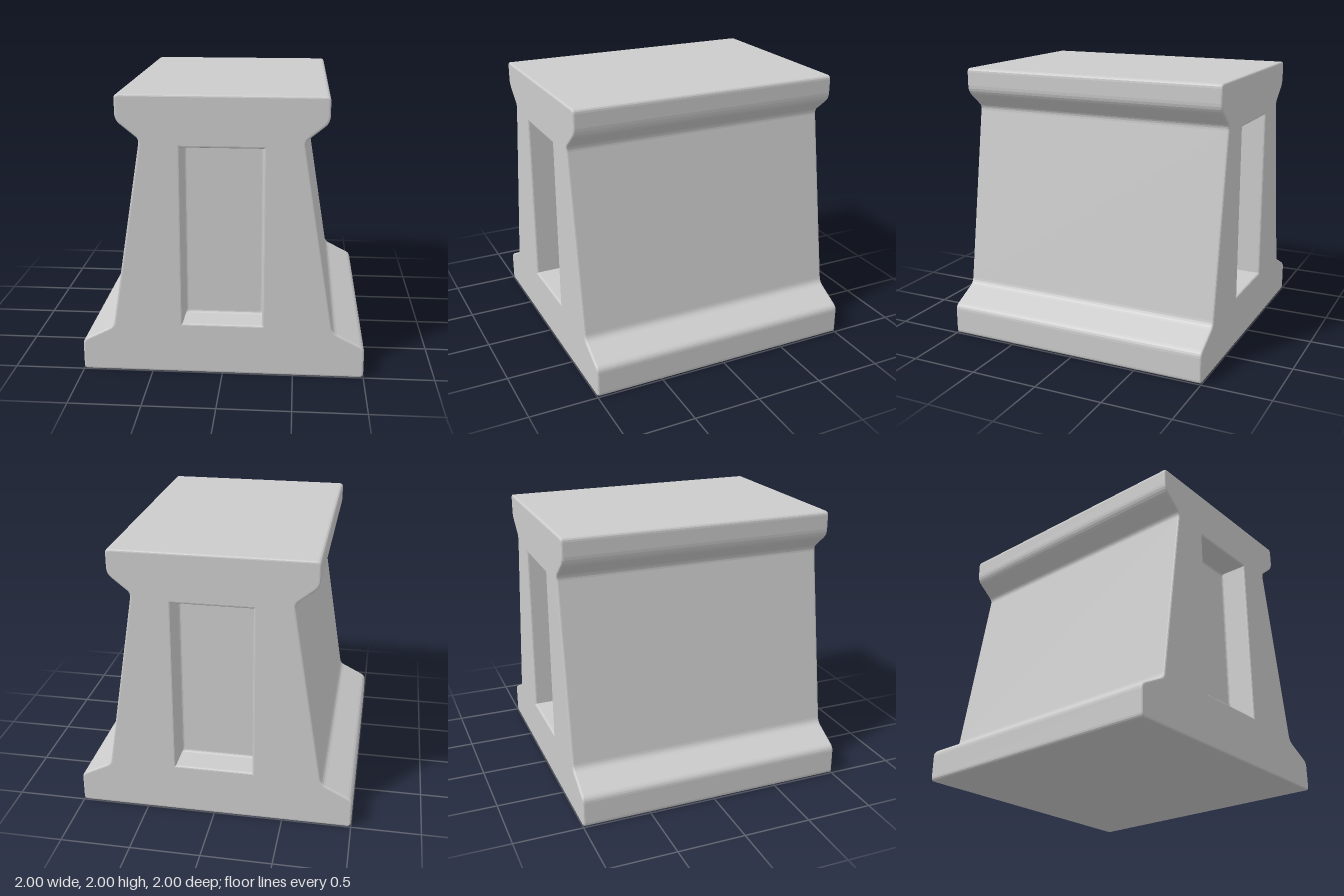
import * as THREE from 'three';

const BEVEL = 0.015;
const HOLE = { hw: 0.28, y0: 0.375, y1: 1.645 };
const FLOOR_Z = 0.79;

// Outline points with every corner rounded; each corner is [x, y, trim]
function roundCorners(corners, steps = 4) {
  const out = [];
  const n = corners.length;
  corners.forEach(([x, y, trim], i) => {
    const p = new THREE.Vector2(x, y);
    const toward = ([qx, qy]) => new THREE.Vector2(qx, qy).sub(p).setLength(trim).add(p);
    const a = toward(corners[(i + n - 1) % n]);
    const b = toward(corners[(i + 1) % n]);
    out.push(...new THREE.QuadraticBezierCurve(a, p, b).getPoints(steps));
  });
  return out;
}

function rectCorners(hw, y0, y1, trim) {
  return [[hw, y0, trim], [hw, y1, trim], [-hw, y1, trim], [-hw, y0, trim]];
}

// Flared pedestal section with a rectangular opening, extruded front to back
function bodyGeometry() {
  const right = [
    [1, 0, 0.03], [1, 0.225, 0.035], [0.775, 0.34, 0.035],
    [0.555, 1.695, 0.03], [0.715, 1.825, 0.045], [0.715, 2, 0.03],
  ];
  const left = right.map(([x, y, t]) => [-x, y, t]).reverse();
  const shape = new THREE.Shape(roundCorners([...right, ...left]));
  const { hw, y0, y1 } = HOLE;
  shape.holes.push(new THREE.Path(rectCorners(hw, y0, y1, 0).map(([x, y]) => new THREE.Vector2(x, y)).reverse()));
  const geo = new THREE.ExtrudeGeometry(shape, {
    depth: 2 - 2 * BEVEL, steps: 1,
    bevelEnabled: true, bevelSize: BEVEL, bevelThickness: BEVEL, bevelOffset: -BEVEL, bevelSegments: 3,
  });
  return geo.translate(0, 0, -(1 - BEVEL));
}

// Recess floor with a small cove running into the opening's walls
function recessGeometry() {
  const { hw, y0, y1 } = HOLE;
  const cove = 0.02, steps = 4;
  const pos = [], idx = [];
  let count = 0;
  for (let k = 0; k <= steps; k++) {
    const t = (k / steps) * Math.PI / 2;
    const inset = cove * (1 - Math.cos(t)) - 0.001;
    const z = FLOOR_Z + cove * (1 - Math.sin(t));
    const ring = roundCorners(rectCorners(hw - inset, y0 + inset, y1 - inset, 0.003 + 0.025 * k / steps));
    count = ring.length;
    ring.forEach((p) => pos.push(p.x, p.y, z));
  }
  const centre = pos.length / 3;
  pos.push(0, (y0 + y1) / 2, FLOOR_Z);
  for (let i = 0; i < count; i++) {
    const j = (i + 1) % count;
    for (let k = 0; k < steps; k++) {
      const a = k * count, b = a + count;
      idx.push(a + i, a + j, b + j, a + i, b + j, b + i);
    }
    idx.push(steps * count + i, steps * count + j, centre);
  }
  const indexed = new THREE.BufferGeometry();
  indexed.setAttribute('position', new THREE.Float32BufferAttribute(pos, 3));
  indexed.setIndex(idx);
  const geo = indexed.toNonIndexed();
  geo.computeVertexNormals();
  return geo;
}

export function createModel() {
  const group = new THREE.Group();
  group.name = 'pedestal';
  const material = new THREE.MeshStandardMaterial({ color: 0xcccccc });

  const body = new THREE.Mesh(bodyGeometry(), material);
  body.name = 'body';
  group.add(body);

  // Same recess on the front and the back
  const recess = recessGeometry();
  ['frontRecess', 'backRecess'].forEach((name, i) => {
    const mesh = new THREE.Mesh(recess, material);
    mesh.name = name;
    mesh.rotation.y = i * Math.PI;
    group.add(mesh);
  });
  return group;
}
